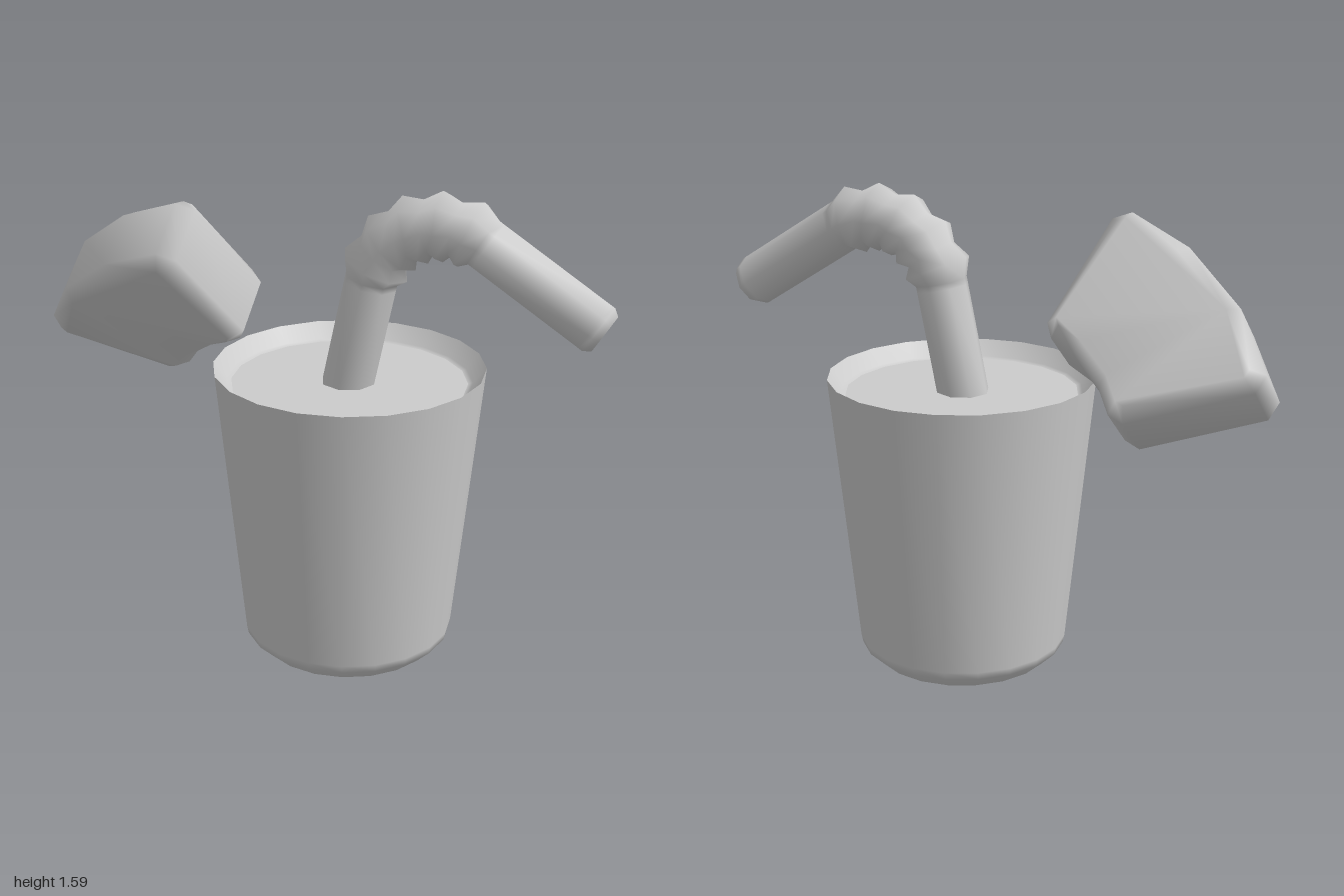
import * as THREE from 'three';
import { mergeVertices } from 'three/addons/utils/BufferGeometryUtils.js';

const grey = new THREE.MeshStandardMaterial({ color: 0xcccccc });

function addMesh(parent, name, geometry) {
  const mesh = new THREE.Mesh(geometry, grey);
  mesh.name = name;
  parent.add(mesh);
  return mesh;
}

const lathe = (pts) => new THREE.LatheGeometry(pts.map(([r, y]) => new THREE.Vector2(r, y)), 20);

// Eight-sided tube through rings of [x, y, direction angle, radius] in the xy plane
function ringTube(rings, sides = 8) {
  const pos = [], index = [];
  rings.forEach(([x, y, dir, r], i) => {
    for (let j = 0; j < sides; j++) {
      const a = (j / sides) * Math.PI * 2;
      const out = r * Math.cos(a);
      pos.push(x - Math.sin(dir) * out, y + Math.cos(dir) * out, r * Math.sin(a));
      if (i === rings.length - 1) continue;
      const p = i * sides + j, q = i * sides + (j + 1) % sides;
      index.push(p, q, p + sides, q, q + sides, p + sides);
    }
  });
  const geo = new THREE.BufferGeometry();
  geo.setAttribute('position', new THREE.Float32BufferAttribute(pos, 3));
  geo.setIndex(index);
  geo.computeVertexNormals();
  return geo;
}

// Bendy straw: straight stem, ribbed arc, straight mouthpiece with a hollow end
function strawGeometry() {
  const rad = THREE.MathUtils.degToRad, r = 0.087;
  const rings = [];
  const arcRing = (deg, radius) => {
    const a = rad(deg);
    rings.push([0.438 + 0.24 * Math.cos(a), 1.24 + 0.24 * Math.sin(a), a - Math.PI / 2, radius]);
  };
  const along = ([x, y, dir], d, radius) =>
    rings.push([x + Math.cos(dir) * d, y + Math.sin(dir) * d, dir, radius]);

  for (let i = 0; i <= 10; i++) arcRing(168 - 11 * i, i % 2 ? 0.113 : r);
  const first = rings[0], last = rings[10];
  along(first, -0.02, r);
  along(first, -0.4, r);
  rings.unshift(...rings.splice(11).reverse());

  // [distance along the mouthpiece, radius]: wall, rounded lip, shallow hole
  const mouth = [[0.02, r], [0.42, r], [0.435, r], [0.458, 0.07], [0.458, 0.054], [0.4, 0.05], [0.4, 0.001]];
  mouth.forEach(([d, radius]) => along(last, d, radius));
  return ringTube(rings);
}

// Fruit wedge: a ring sector with clipped corners and bevelled faces
function wedgeGeometry() {
  const outline = [
    [0.97, 108], [0.97, 122.5], [0.97, 139.5], [0.97, 154],
    [0.925, 157], [0.52, 157],
    [0.48, 152], [0.48, 139.5], [0.48, 122.5], [0.48, 110],
    [0.52, 105], [0.925, 105],
  ].map(([r, deg]) => {
    const a = THREE.MathUtils.degToRad(deg);
    return new THREE.Vector2(-0.067 + r * Math.cos(a), 0.379 + r * Math.sin(a));
  });
  const bevel = 0.04, near = -0.872, far = -0.605;
  let geo = new THREE.ExtrudeGeometry(new THREE.Shape(outline), {
    depth: far - near - 2 * bevel, bevelEnabled: true, bevelSegments: 1,
    bevelSize: bevel, bevelThickness: bevel, bevelOffset: -bevel,
  });
  geo.translate(0, 0, near + bevel);
  geo.rotateX(0.715);
  // weld, then area-weighted normals keep faces flat and bevels soft
  geo.deleteAttribute('uv');
  geo.deleteAttribute('normal');
  geo = mergeVertices(geo, 1e-4);
  geo.computeVertexNormals();
  return geo;
}

export function createModel() {
  const model = new THREE.Group();
  model.name = 'drink';

  // Tapered cup with bevelled foot
  const cup = new THREE.Group();
  cup.name = 'cup';
  cup.position.x = 0.13;
  model.add(cup);
  addMesh(cup, 'cupWall', lathe([[0.3, 0], [0.347, 0.045], [0.352, 0.07], [0.443, 0.985]]));
  addMesh(cup, 'cupBase', lathe([[0, 0], [0.3, 0]]));
  addMesh(cup, 'cupRim', lathe([[0.443, 0.985], [0.4, 0.935], [0.385, 0.93]]));
  addMesh(cup, 'drinkSurface', lathe([[0.385, 0.93], [0, 0.93]]));

  addMesh(model, 'straw', strawGeometry());
  addMesh(model, 'fruitWedge', wedgeGeometry());
  return model;
}
